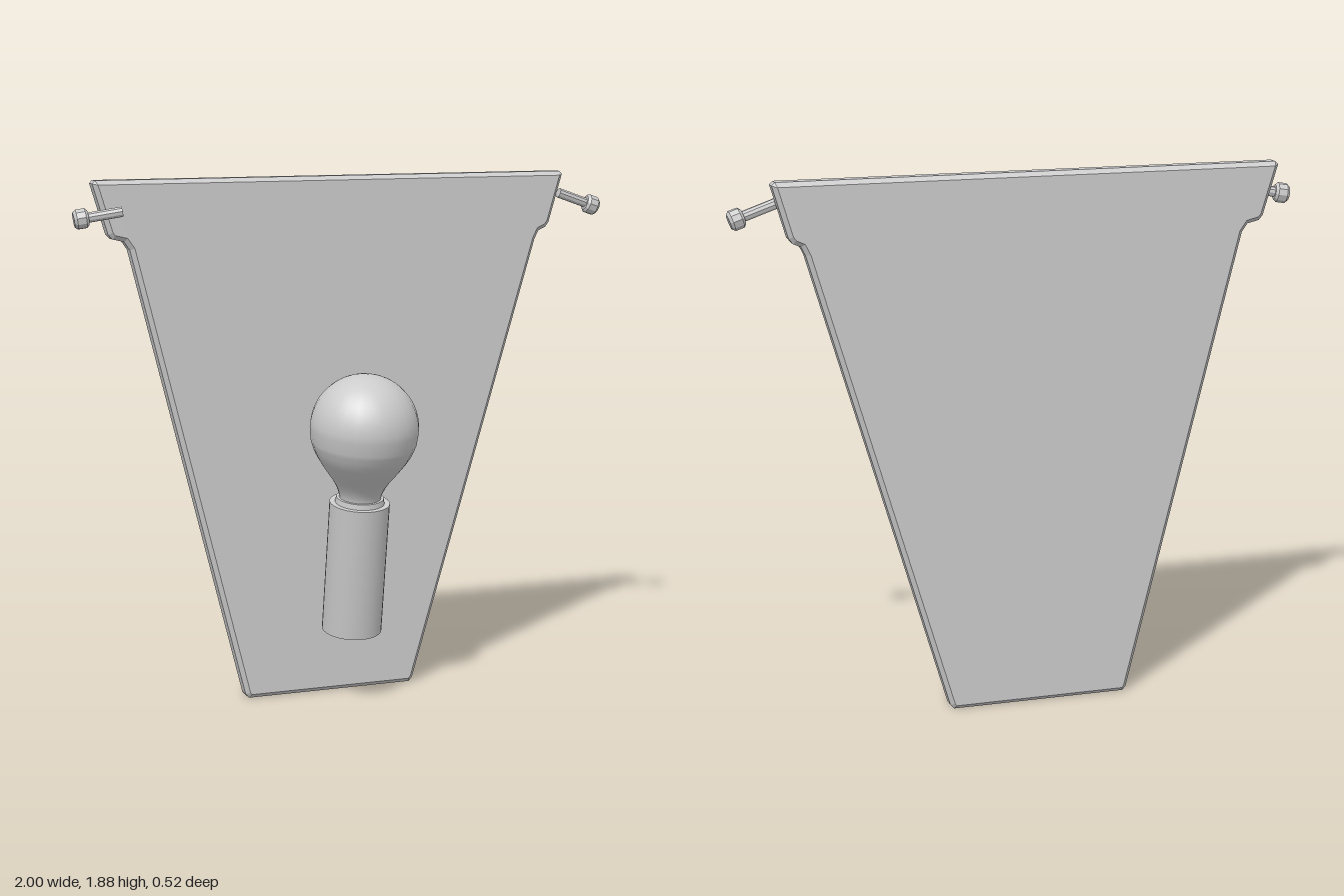
import * as THREE from 'three';

const material = new THREE.MeshStandardMaterial({ color: 0xcccccc });
const flat = new THREE.MeshStandardMaterial({ color: 0xcccccc, flatShading: true });
const points = (list) => list.map(([x, y]) => new THREE.Vector2(x, y));

function addMesh(parent, name, geometry, mat = material) {
  const mesh = new THREE.Mesh(geometry, mat);
  mesh.name = name;
  parent.add(mesh);
  return mesh;
}

// Tapered back board with stepped shoulders and chamfered edges
function createBoard() {
  const outline = points([
    [-0.37, 0], [0.255, 0], [0.268, 0.015],
    [0.75, 1.63], [0.765, 1.66], [0.792, 1.672], [0.806, 1.69],
    [0.858, 1.865], [0.847, 1.876], [-0.907, 1.876], [-0.917, 1.865],
    [-0.864, 1.69], [-0.85, 1.674], [-0.808, 1.664], [-0.788, 1.635],
    [-0.383, 0.015],
  ]);
  const geometry = new THREE.ExtrudeGeometry(new THREE.Shape(outline), {
    depth: 0.04, bevelEnabled: true, bevelSegments: 1,
    bevelSize: 0.015, bevelThickness: 0.016, bevelOffset: -0.015,
  });
  geometry.translate(0, 0, -0.246);
  return geometry;
}

// Bulb and its cylindrical socket, sharing one tilted axis
function createLamp() {
  const lamp = new THREE.Group();
  lamp.name = 'lamp';
  const socket = addMesh(lamp, 'socket', new THREE.CylinderGeometry(0.107, 0.107, 0.485, 32));
  socket.position.y = 0.2425;
  const collar = addMesh(lamp, 'socketCollar', new THREE.CylinderGeometry(0.084, 0.088, 0.02, 32));
  collar.position.y = 0.494;

  const neck = new THREE.SplineCurve(points([
    [0.074, 0.49], [0.077, 0.52], [0.098, 0.563], [0.136, 0.615], [0.169, 0.667], [0.187, 0.715],
  ])).getPoints(14);
  const dome = [];
  for (let i = 0; i <= 14; i++) {
    const a = (i / 14) * Math.PI / 2;
    dome.push(new THREE.Vector2(i === 14 ? 0 : 0.192 * Math.cos(a), 0.76 + 0.192 * Math.sin(a)));
  }
  addMesh(lamp, 'bulb', new THREE.LatheGeometry([...neck, ...dome], 24));
  lamp.position.set(-0.028, 0.262, -0.06);
  lamp.rotation.x = THREE.MathUtils.degToRad(9.6);
  return lamp;
}

// Bolt running from its shaft tip to the outer face of its chamfered head
function createBolt(name, tip, end) {
  const bolt = new THREE.Group();
  bolt.name = name;
  const from = new THREE.Vector3(...tip);
  const axis = new THREE.Vector3(...end).sub(from);
  const length = axis.length();
  const shaft = addMesh(bolt, 'boltShaft', new THREE.CylinderGeometry(0.018, 0.018, length - 0.04, 10), flat);
  shaft.position.y = (length - 0.04) / 2;
  const head = addMesh(bolt, 'boltHead', new THREE.LatheGeometry(points([
    [0, -0.05], [0.026, -0.05], [0.035, -0.041], [0.035, -0.01], [0.026, 0], [0, 0],
  ]), 10), flat);
  head.position.y = length;
  bolt.position.copy(from);
  bolt.quaternion.setFromUnitVectors(new THREE.Vector3(0, 1, 0), axis.normalize());
  return bolt;
}

export function createModel() {
  const model = new THREE.Group();
  model.name = 'wallLamp';
  addMesh(model, 'backBoard', createBoard(), flat);
  model.add(createLamp());
  model.add(createBolt('rightBolt', [-0.832, 1.773, -0.135], [-0.996, 1.747, -0.158]));
  model.add(createBolt('leftBolt', [0.832, 1.798, -0.18], [0.988, 1.743, -0.18]));
  return model;
}
